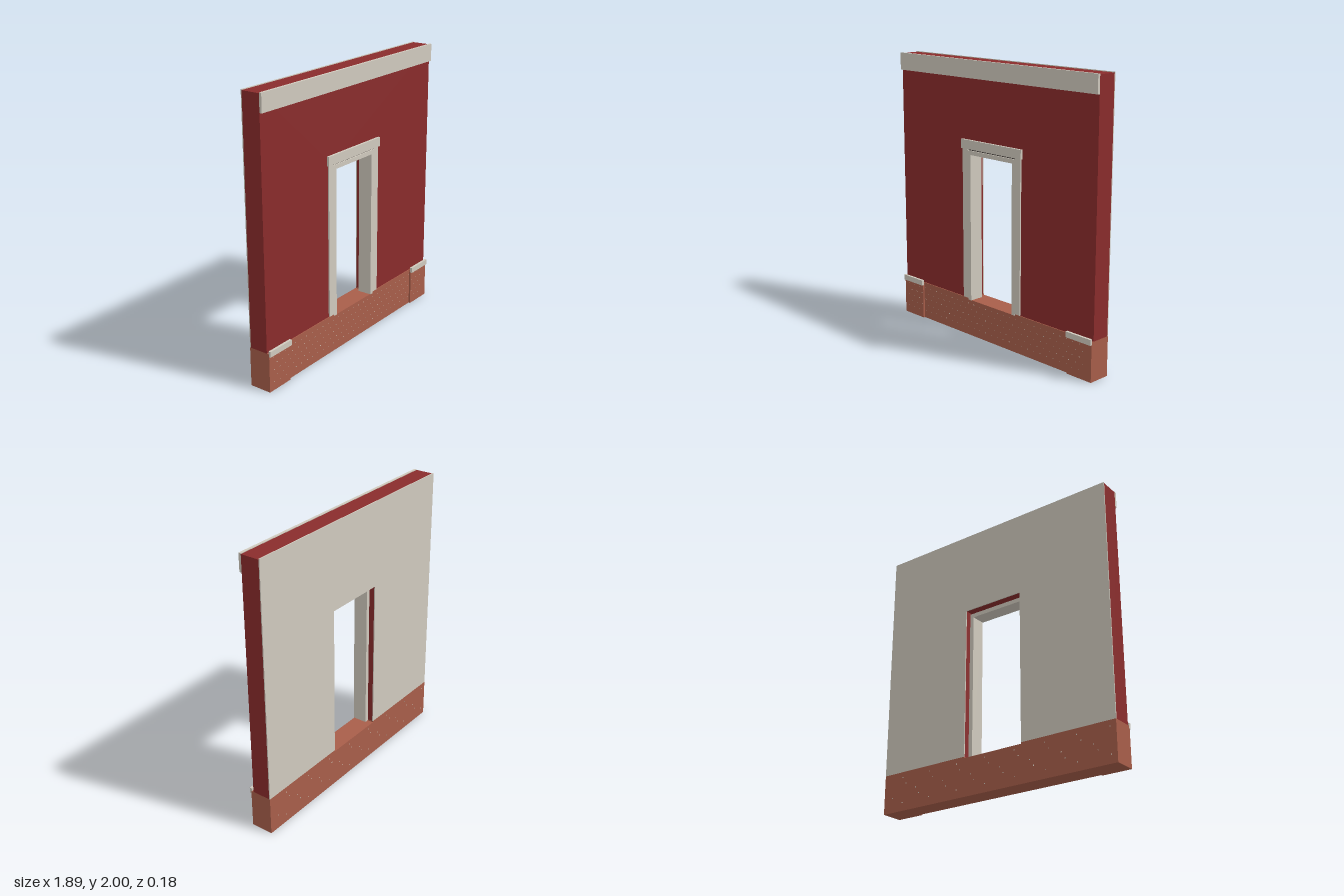
import * as THREE from 'three';
import { mergeGeometries } from 'three/addons/utils/BufferGeometryUtils.js';

const mat = (name, color) => new THREE.MeshStandardMaterial({ name, color });

export function createModel() {
  const group = new THREE.Group();
  const red = mat('red wall', 0x8a2c2c);
  const stone = mat('pale stone', 0xd0cabe);
  const brick = mat('brick', 0xa85e4a);
  const shadowGap = mat('dark groove', 0x4a4440);

  const W = 0.945; // half width of the wall
  const H = 0.235; // half width of the doorway

  // Box given by its limits on each axis
  const boxGeo = (x0, x1, y0, y1, z0, z1) =>
    new THREE.BoxGeometry(x1 - x0, y1 - y0, z1 - z0)
      .translate((x0 + x1) / 2, (y0 + y1) / 2, (z0 + z1) / 2);
  const add = (name, geo, material) => {
    const mesh = new THREE.Mesh(geo, material);
    mesh.name = name;
    group.add(mesh);
  };
  const box = (name, material, ...limits) => add(name, boxGeo(...limits), material);

  // Wall sheet: an upside-down U around the doorway, or a sill notch
  const sheet = (name, material, points, z0, z1) => {
    const shape = new THREE.Shape(points.map(([x, y]) => new THREE.Vector2(x, y)));
    const geo = new THREE.ExtrudeGeometry(shape, { depth: z1 - z0, bevelEnabled: false });
    add(name, geo.translate(0, 0, z0), material);
  };
  const arch = (top) => [[-W, 0.28], [-H, 0.28], [-H, 1.38], [H, 1.38],
    [H, 0.28], [W, 0.28], [W, top], [-W, top]];

  // Wall, inner plaster and brick plinth with a lowered threshold
  sheet('wall', red, arch(1.995), -0.08, 0.056);
  sheet('innerPlaster', stone, arch(2), -0.087, -0.08);
  sheet('brickPlinth', brick, [[-W, 0], [W, 0], [W, 0.28], [H, 0.28],
    [H, 0.27], [-H, 0.27], [-H, 0.28], [-W, 0.28]], -0.087, 0.062);

  // Top band
  box('cornice', stone, -W, W, 1.875, 2, 0.056, 0.074);

  // Paired parts: corner piers, their ledges, door jambs
  for (const s of [-1, 1]) {
    const side = s > 0 ? 'left' : 'right';
    const pair = (name, material, a, b, ...rest) =>
      box(side + name, material, Math.min(s * a, s * b), Math.max(s * a, s * b), ...rest);
    pair('Pier', brick, 0.735, W, 0, 0.28, 0.062, 0.075);
    pair('PierLedge', stone, 0.73, W, 0.26, 0.3, 0.07, 0.088);
    pair('DoorCasing', stone, H, 0.285, 0.283, 1.38, 0.056, 0.066);
    pair('DoorJamb', stone, 0.205, H, 0.27, 1.37, -0.04, 0.066);
  }

  // Door head, groove and lintel
  box('doorHead', stone, -0.205, 0.205, 1.34, 1.37, -0.04, 0.066);
  box('headGroove', shadowGap, -H, H, 1.37, 1.38, 0.05, 0.057);
  box('lintel', stone, -0.295, 0.295, 1.38, 1.445, 0.056, 0.073);

  // Specks of mortar at the brick joints, front and back
  const specks = [];
  for (let row = 0; row < 5; row++) {
    for (let i = 0; i < 30; i++) {
      const x = -0.9 + i * 0.06 + (row % 2) * 0.03;
      const y = 0.06 + row * 0.045;
      const front = Math.abs(x) > 0.735 ? 0.0755 : 0.0625;
      specks.push(boxGeo(x - 0.003, x + 0.003, y - 0.002, y + 0.002, front - 0.002, front));
      if (i % 4 === row % 4) {
        specks.push(boxGeo(x - 0.003, x + 0.003, y - 0.004, y + 0.004, -0.0875, -0.0855));
      }
    }
  }
  add('mortarSpecks', mergeGeometries(specks), stone);

  return group;
}
